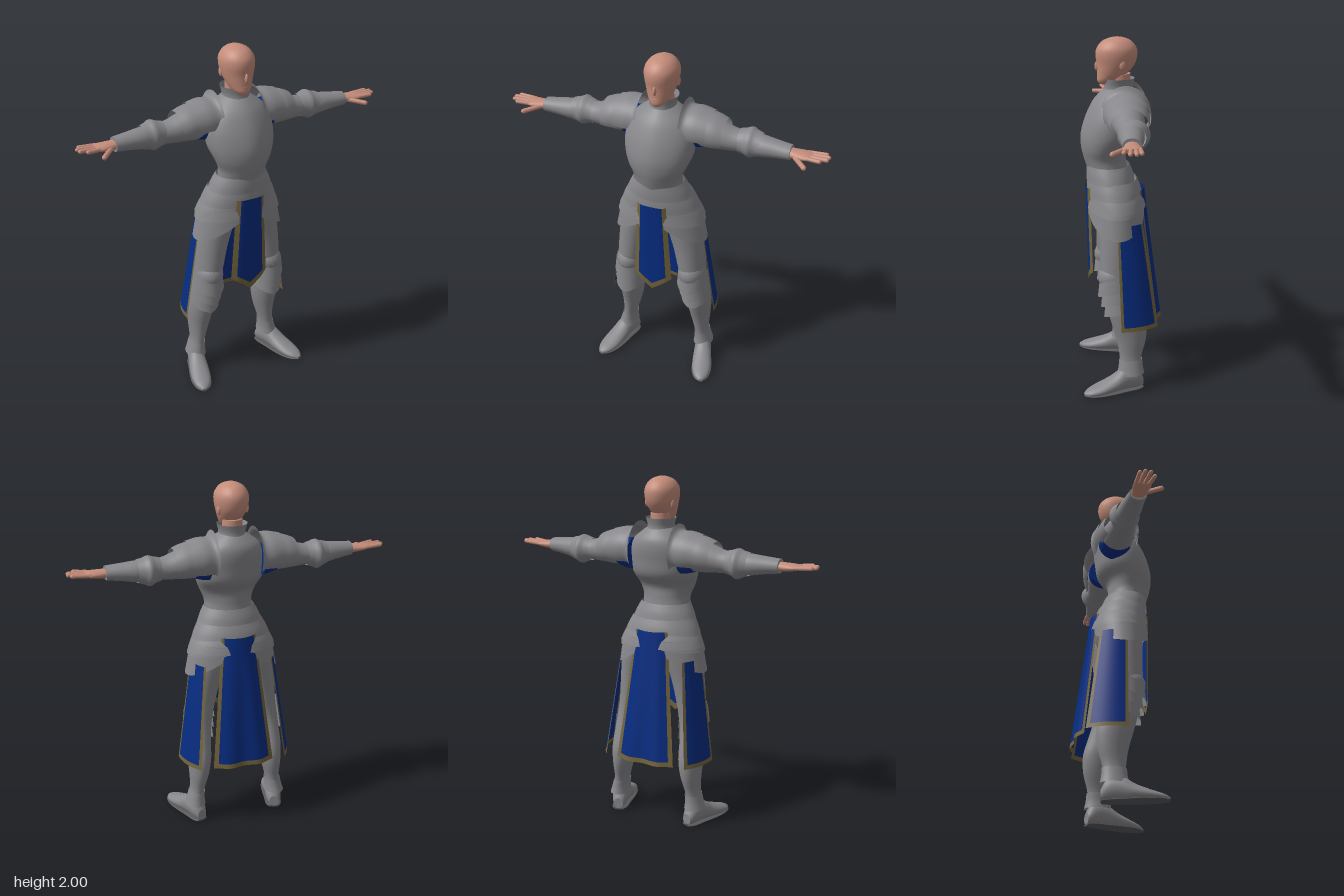
import * as THREE from 'three';

const mat = (name, color, side = THREE.DoubleSide) => {
  const m = new THREE.MeshStandardMaterial({ color, side });
  m.name = name;
  return m;
};

// Catmull-Rom refinement of a short table of cross-sections
function refine(rows, k) {
  const out = [], at = i => rows[Math.max(0, Math.min(rows.length - 1, i))];
  for (let i = 0; i < rows.length - 1; i++) for (let j = 0; j < k; j++) {
    const t = j / k, [p, a, b, n] = [at(i - 1), at(i), at(i + 1), at(i + 2)];
    out.push(a.map((_, c) => a[c] + t / 2 * (b[c] - p[c] + t * (2 * p[c] - 5 * a[c] + 4 * b[c] - n[c]
      + t * (3 * (a[c] - b[c]) + n[c] - p[c])))));
  }
  out.push(rows.at(-1));
  return out;
}

// Elliptic sections along y: [y, x, z, rx, rz], or along x: [x, y, z, ry, rz], in ascending order
function loft(rows, { axis = 'y', seg = 28, k = 4, arc, cap = true, ridge = 0, floor = -9 } = {}) {
  const rings = refine(rows, k), pos = [], idx = [];
  const n = arc ? seg + 1 : seg, [a0, a1] = arc || [0, Math.PI * 2];
  const put = (t, a, b) => axis === 'y' ? pos.push(a, t, b) : pos.push(t, Math.max(a, floor), b);
  const tri = (a, b, c) => axis === 'y' ? idx.push(a, c, b) : idx.push(a, b, c);
  const ring = r => {
    for (let j = 0; j < n; j++) {
      const q = a0 + (a1 - a0) * j / seg, s = Math.sin(q);
      put(r[0], r[1] + r[3] * Math.cos(q), r[2] + r[4] * s * (1 + ridge * Math.max(0, s) ** 16));
    }
  };
  rings.forEach(ring);
  for (let i = 0; i < rings.length - 1; i++) for (let j = 0; j < seg; j++) {
    const a = i * n + j, b = i * n + (j + 1) % n;
    tri(a, b, a + n);
    tri(b, b + n, a + n);
  }
  if (cap && !arc) [rings[0], rings.at(-1)].forEach((r, e) => {
    const s = pos.length / 3;
    ring(r);
    put(r[0], r[1], r[2]);
    for (let j = 0; j < n; j++) {
      const p = s + j, q = s + (j + 1) % n;
      e ? tri(p, q, s + n) : tri(q, p, s + n);
    }
  });
  return finish(pos, idx);
}

function finish(pos, idx) {
  const g = new THREE.BufferGeometry();
  g.setAttribute('position', new THREE.Float32BufferAttribute(pos, 3));
  g.setIndex(idx);
  g.computeVertexNormals();
  return g;
}

// Sheet from a rule (u, v) -> point; side and bottom borders form the second material group
function sheet(fn, bu = 0, bv = 0, n = 18) {
  const steps = Array.from({ length: n + 1 }, (_, i) => i / n);
  const us = bu ? [0, ...steps.map(s => bu + s * (1 - 2 * bu)), 1] : steps;
  const vs = bv ? [...steps.map(s => s * (1 - bv)), 1] : steps;
  const pos = [], field = [], trim = [], w = us.length;
  for (const v of vs) for (const u of us) pos.push(...fn(u, v));
  for (let i = 0; i < vs.length - 1; i++) for (let j = 0; j < w - 1; j++) {
    const a = i * w + j;
    const edge = (bu && (j === 0 || j === w - 2)) || (bv && i === vs.length - 2);
    (edge ? trim : field).push(a, a + w, a + 1, a + 1, a + w, a + w + 1);
  }
  const g = finish(pos, [...field, ...trim]);
  if (bu) {
    g.addGroup(0, field.length, 0);
    g.addGroup(field.length, trim.length, 1);
  }
  return g;
}

function mirrored(geo) {
  const g = geo.clone().scale(-1, 1, 1), ix = g.index.array;
  for (let i = 0; i < ix.length; i += 3) [ix[i], ix[i + 1]] = [ix[i + 1], ix[i]];
  return g;
}

function capsule(p, q, r) {
  const a = new THREE.Vector3(...p), b = new THREE.Vector3(...q), d = b.clone().sub(a);
  const rot = new THREE.Quaternion().setFromUnitVectors(new THREE.Vector3(0, 1, 0), d.clone().normalize());
  return new THREE.CapsuleGeometry(r, d.length(), 4, 10).applyQuaternion(rot).translate(...a.add(b).multiplyScalar(0.5).toArray());
}

const ball = (x, y, z, rx, ry, rz) => new THREE.SphereGeometry(1, 20, 14).scale(rx, ry, rz).translate(x, y, z);

export function createModel() {
  const steel = mat('steel', 0x88888c), blue = mat('blue cloth', 0x062c80), gold = mat('gold trim', 0x72633a);
  const skin = mat('skin', 0xc48c7a, THREE.FrontSide), dark = mat('dark sole', 0x5a5a5d);
  const model = new THREE.Group();
  const add = (name, geo, m) => {
    const mesh = new THREE.Mesh(geo, m);
    mesh.name = name;
    model.add(mesh);
  };
  const pair = (name, geo, m) => {
    add(name + 'Left', geo, m);
    add(name + 'Right', mirrored(geo), m);
  };

  // Head and neck
  add('head', loft([[1.742, 0, .08, .022, .035], [1.762, 0, .068, .047, .06], [1.8, 0, .045, .068, .083],
    [1.85, 0, .026, .085, .104], [1.9, 0, .022, .094, .115], [1.94, 0, .021, .09, .109],
    [1.975, 0, .02, .066, .081], [1.993, 0, .018, .034, .042], [2, 0, .018, .004, .005]]), skin);
  add('neck', loft([[1.68, 0, .005, .058, .06], [1.8, 0, .005, .055, .06]]), skin);
  add('nose', ball(0, 1.84, .126, .01, .028, .017).rotateX(0), skin);
  add('lips', ball(0, 1.79, .117, .022, .008, .012), skin);
  pair('ear', ball(.08, 1.855, -.005, .011, .028, .018), skin);
  pair('eyelid', ball(.034, 1.866, .108, .018, .008, .012), skin);

  // Torso armour
  add('cuirass', loft([[1.23, 0, .066, .135, .11], [1.28, 0, .076, .138, .111], [1.33, 0, .086, .14, .116],
    [1.39, 0, .09, .165, .125], [1.46, 0, .062, .192, .154], [1.54, 0, .045, .198, .152], [1.61, 0, .026, .185, .142],
    [1.66, 0, .015, .155, .125], [1.7, 0, .01, .105, .095], [1.725, 0, .008, .07, .07]], { ridge: .05, seg: 40 }), steel);
  add('collar', loft([[1.69, 0, .01, .082, .088], [1.73, 0, .01, .074, .08], [1.775, 0, .008, .086, .086]], { cap: false }), steel);
  add('pelvis', loft([[.96, 0, .02, .09, .08], [1.03, 0, .025, .17, .125], [1.12, 0, .03, .2, .14], [1.2, 0, .04, .175, .13]]), steel);

  // Overlapping waist lames
  [[1.29, .144, .12, .07], [1.21, .184, .14, .048], [1.145, .212, .15, .036]].forEach(([y, rx, rz, z], i) =>
    add('waistLame' + (i + 1), loft([[y - .09, 0, z - .014, rx + .044, rz + .016], [y - .045, 0, z - .008, rx + .025, rz + .011],
      [y, 0, z, rx, rz]], { cap: false, seg: 40 }), steel));

  // Hip plates: a short upper lame over a long rounded one
  for (const [name, y0, drop, rise, flare] of [['hipLame', 1.1, .07, .02, .01], ['hipPlate', 1.06, .15, .12, 0]])
    pair(name, sheet((u, v) => {
      const s = 2 * u - 1, q = s * 1.28, y = y0 - v * (drop - rise * s * s);
      const grow = (1.1 - y) * .2 + flare * v;
      return [(.236 + grow) * Math.cos(q), y, .028 + (.162 + grow * .3) * Math.sin(q)];
    }), steel);

  // Cloth panels with gold borders
  add('frontTabard', sheet((u, v) => {
    const s = 2 * u - 1;
    return [s * (.085 + .03 * v), 1.165 - v * (.49 + .085 * (1 - Math.abs(s))), .198 - .012 * v - .02 * s ** 4];
  }, .13, .065), [blue, gold]);
  add('backCloth', sheet((u, v) => {
    const s = 2 * u - 1;
    return [s * (.1 + .082 * v), 1.15 - .76 * v, -.136 - .082 * v - v * .018 * Math.sin(Math.PI * s) ** 2 + (.035 - .008 * v) * s * s];
  }, .07, .035), [blue, gold]);
  pair('sideCloth', sheet((u, v) => [
    .245 + .085 * v - u ** 2.5 * (.05 + .025 * v), .99 - .6 * v, .035 - .015 * v - u * (.145 + .07 * v),
  ], .08, .04), [blue, gold]);

  // Arms
  const X = { axis: 'x' };
  pair('underSleeve', loft([[.155, 1.565, -.025, .088, .09], [.19, 1.567, -.025, .085, .092], [.235, 1.572, -.022, .078, .086]], X), blue);
  pair('upperArm', loft([[.2, 1.588, -.02, .09, .094], [.26, 1.582, -.02, .086, .09], [.33, 1.576, -.02, .076, .082],
    [.4, 1.566, -.02, .062, .068], [.48, 1.565, -.025, .056, .062]], X), steel);
  pair('pauldron', loft([[.122, 1.6, -.02, .15, .138], [.145, 1.6, -.02, .116, .128], [.2, 1.6, -.022, .115, .13],
    [.27, 1.596, -.022, .104, .12]], { ...X, arc: [-2.2, 1.85] }), steel);
  pair('pauldronLame', loft([[.24, 1.596, -.021, .102, .118], [.3, 1.59, -.02, .097, .113], [.35, 1.582, -.02, .086, .1]],
    { ...X, arc: [-2.3, 2.05] }), steel);
  pair('elbowGuard', loft([[.425, 1.565, -.025, .064, .068], [.455, 1.565, -.027, .071, .074], [.487, 1.563, -.03, .083, .085],
    [.515, 1.563, -.026, .072, .074], [.55, 1.564, -.02, .063, .067]], { ...X, cap: false }), steel);
  pair('forearm', loft([[.47, 1.565, -.02, .055, .06], [.55, 1.563, -.015, .058, .064], [.63, 1.565, -.008, .048, .056],
    [.715, 1.566, 0, .039, .049]], X), steel);

  // Hands
  pair('palm', loft([[.69, 1.566, 0, .024, .034], [.74, 1.564, .002, .024, .042], [.79, 1.566, .004, .019, .049],
    [.825, 1.568, .004, .012, .045]], X), skin);
  [[.038, .885, .054], [.014, .918, .026], [-.01, .922, -.004], [-.032, .905, -.03]].forEach(([z, x, ze], i) =>
    pair('finger' + (i + 1), capsule([.8, 1.568, z], [x - .01, 1.574, ze], .0115), skin));
  pair('thumb', capsule([.735, 1.56, .025], [.81, 1.55, .104], .0135), skin);

  // Legs
  pair('leg', loft([[.12, .25, -.04, .046, .06], [.2, .237, -.04, .041, .063], [.3, .226, -.045, .056, .084],
    [.4, .22, -.032, .068, .1], [.5, .215, -.005, .07, .1], [.6, .205, .022, .076, .1], [.7, .19, .028, .08, .1],
    [.85, .168, .025, .092, .106], [1, .135, .02, .105, .12], [1.08, .11, .02, .09, .11]]), steel);
  pair('kneeCap', ball(.195, .675, .05, .078, .085, .092), steel);
  // Pointed lames stepping down from the knee
  for (let i = 0; i < 3; i++)
    pair('kneeLame' + (i + 1), sheet((u, v) => {
      const s = 2 * u - 1, q = s * 1.75, r = .083 - .002 * i + .009 * v;
      return [.199 + .007 * i + r * Math.sin(q), .7 - .06 * i - .085 * v - .055 * (1 - Math.abs(s)),
        .03 - .015 * i + (r + .022) * Math.cos(q)];
    }), steel);
  pair('ankleCuff', loft([[.1, .25, -.04, .058, .078], [.14, .246, -.04, .05, .07], [.185, .239, -.04, .045, .067]], { cap: false }), steel);

  // Feet, turned outward
  const foot = [[-.07, .04, 0, .034, .028], [-.035, .065, 0, .062, .044], [.04, .07, 0, .067, .049], [.11, .048, 0, .047, .056],
    [.19, .03, 0, .031, .056], [.25, .02, 0, .02, .04], [.283, .014, 0, .008, .012]];
  const place = g => g.rotateY(-1.28).translate(.25, 0, -.04);
  pair('shoe', place(loft(foot, { ...X, floor: .008 })), steel);
  pair('sole', place(loft(foot.map(r => [r[0], .007, 0, .007, r[4] + .003]), X)), dark);

  return model;
}
